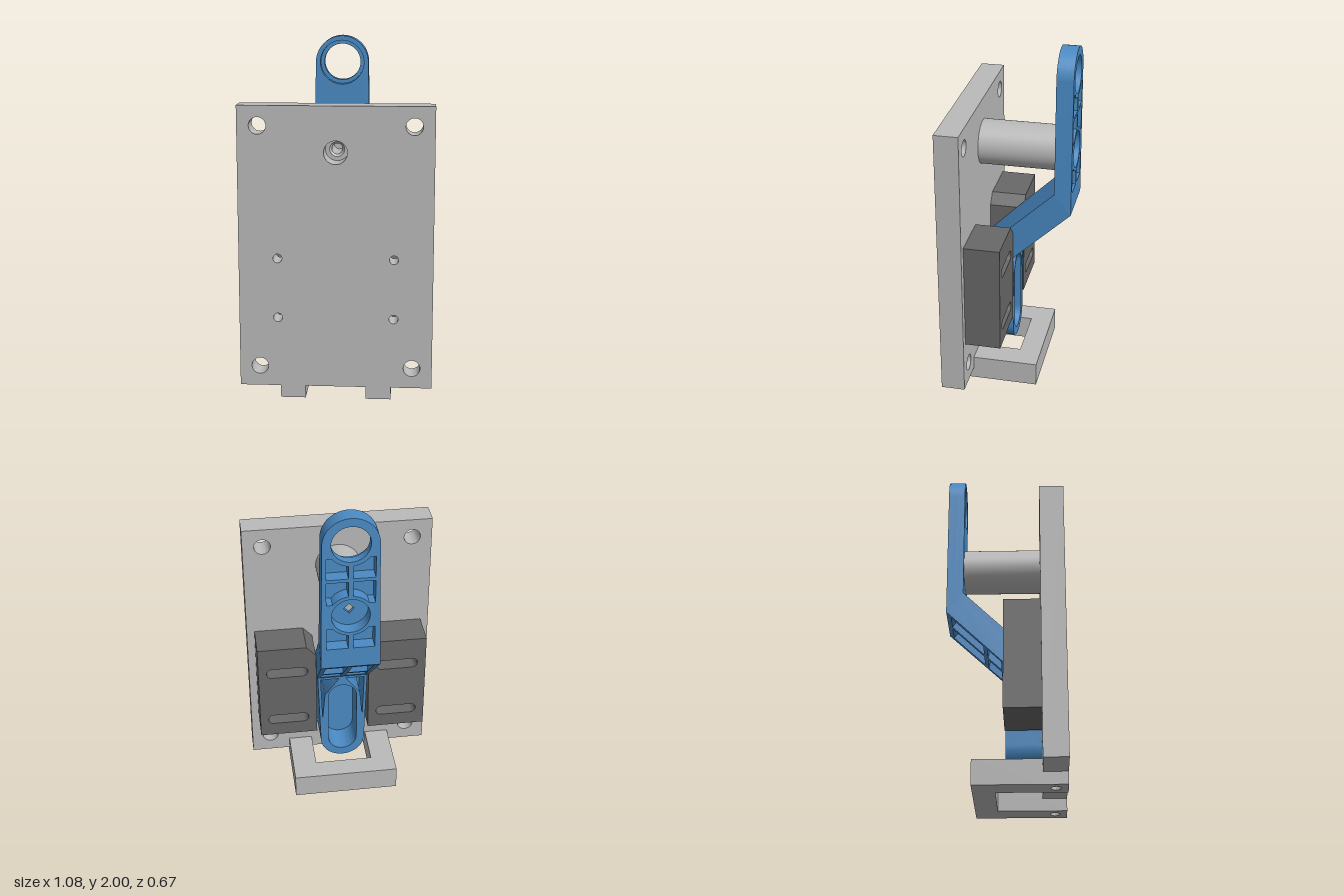
import * as THREE from 'three';
import { toCreasedNormals } from 'three/addons/utils/BufferGeometryUtils.js';

const V = (x, y) => new THREE.Vector2(x, y);
const poly = (...p) => new THREE.Shape(p.map(([x, y]) => V(x, y)));
const rect = (x0, y0, x1, y1) => poly([x0, y0], [x1, y0], [x1, y1], [x0, y1]);
const circle = (x, y, r) => new THREE.Shape().absarc(x, y, r, 0, Math.PI * 2, false);

// Horizontal or vertical slot given by its two end centres
function slot(x0, y0, x1, y1, r) {
  const a = Math.atan2(y1 - y0, x1 - x0), q = Math.PI / 2;
  const s = new THREE.Shape();
  s.absarc(x1, y1, r, a - q, a + q, false);
  s.absarc(x0, y0, r, a + q, a + 3 * q, false);
  s.closePath();
  return s;
}

// Extrude an outline with holes from z0 to z1, optionally moving each vertex by a rule
function slab(outline, holes, z0, z1, rule) {
  const s = new THREE.Shape(outline.getPoints(20));
  s.holes = holes;
  const g = new THREE.ExtrudeGeometry(s, { depth: z1 - z0, bevelEnabled: false, curveSegments: 20 });
  g.translate(0, 0, z0);
  if (rule) {
    const p = g.attributes.position, v = new THREE.Vector3();
    for (let i = 0; i < p.count; i++) {
      v.fromBufferAttribute(p, i);
      rule(v);
      p.setXYZ(i, v.x, v.y, v.z);
    }
  }
  return toCreasedNormals(g, 0.6);
}

// Pocket beside the centre rib, one side following a round boss at height cy
function bossPocket(cy, r, farY, side) {
  const dir = Math.sign(farY - cy);
  const pts = [[0.0136, farY], [0.132, farY], [0.132, cy + dir * r * 0.62]];
  for (let i = 0; i <= 6; i++) {
    const a = THREE.MathUtils.degToRad(38 + (46 * i) / 6);
    pts.push([r * Math.cos(a), cy + dir * r * Math.sin(a)]);
  }
  return poly(...pts.map(([x, y]) => [side * x, y]));
}

export function createModel() {
  const model = new THREE.Group();
  model.name = 'leverBracket';
  const mat = (name, color) => Object.assign(new THREE.MeshStandardMaterial({ color }), { name });
  const grey = mat('lightGrey', 0xbababa);
  const dark = mat('darkGrey', 0x686868);
  const blue = mat('blue', 0x4a8bc5);
  const add = (name, geometry, material, parent = model) => {
    const m = new THREE.Mesh(geometry, material);
    m.name = name;
    parent.add(m);
    return m;
  };

  // Mounting plate with corner, block and post holes
  const plateHoles = [circle(0, 1.405, 0.065)];
  for (const s of [-1, 1]) {
    for (const y of [0.185, 1.55]) plateHoles.push(circle(s * 0.427, y, 0.047));
    for (const y of [0.47, 0.81]) plateHoles.push(circle(s * 0.323, y, 0.025));
  }
  add('mountingPlate', slab(rect(-0.54, 0.07, 0.54, 1.66), plateHoles, 0.2, 0.335), grey);

  // U-shaped foot, drawn in plan (y = -z) and laid flat
  const foot = slab(poly([-0.31, 0.175], [-0.31, -0.2], [-0.17, -0.2], [-0.17, 0.05],
    [0.17, 0.05], [0.17, -0.2], [0.31, -0.2], [0.31, 0.175]), [], 0, 0.14);
  add('foot', foot.rotateX(-Math.PI / 2), grey);
  for (const s of [-1, 1]) {
    const tab = slab(rect(s * 0.24 - 0.07, -0.335, s * 0.24 + 0.07, -0.2),
      [circle(s * 0.24, -0.27, 0.028)], 0, 0.07);
    add('footTab', tab.rotateX(-Math.PI / 2), grey);
  }

  // Post with a blind bore at its front end
  const post = new THREE.LatheGeometry([V(0, -0.24), V(0.128, -0.24), V(0.128, 0.2),
    V(0.042, 0.2), V(0.03, 0.185), V(0.03, 0), V(0, 0)], 48);
  post.rotateX(Math.PI / 2).translate(0, 1.405, 0);
  add('post', toCreasedNormals(post, 0.6), grey);

  // Slotted guide blocks with a chamfered inner top corner
  for (const s of [-1, 1]) {
    const outline = poly(...[[0.155, 0.355], [0.495, 0.355], [0.495, 0.98], [0.21, 0.98], [0.155, 0.92]]
      .map(([x, y]) => [s * x, y]));
    const slots = [0.47, 0.81].map((y) => slot(s * 0.325 - 0.09, y, s * 0.325 + 0.09, y, 0.031));
    add(s > 0 ? 'leftBlock' : 'rightBlock', slab(outline, slots, -0.003, 0.2), dark);
  }

  const arm = new THREE.Group();
  arm.name = 'leverArm';
  model.add(arm);

  // Upper arm: eye, round cup and ribbed pockets behind a flat front skin
  const upper = new THREE.Shape();
  upper.moveTo(-0.165, 1.13);
  upper.lineTo(0.165, 1.13);
  upper.lineTo(0.153, 1.85);
  upper.absarc(0, 1.847, 0.153, 0, Math.PI, false);
  upper.closePath();
  const mitre = (v) => {
    if (v.y < 1.14) v.y = 1.07 + (0.12 * (v.z + 0.335)) / 0.095;
  };
  const upperPockets = () => [circle(0, 1.405, 0.105), ...[-1, 1].flatMap((s) => [
    bossPocket(1.405, 0.125, 1.62, s), bossPocket(1.405, 0.125, 1.195, s),
    bossPocket(1.847, 0.13, 1.64, s)])];
  const squareHole = poly([0, 1.375], [0.03, 1.405], [0, 1.435], [-0.03, 1.405]);
  for (const [name, z0, z1, r, holes] of [
    ['upperArmRim', -0.335, -0.285, 0.105, upperPockets()],
    ['upperArmRim', -0.285, -0.26, 0.127, upperPockets()],
    ['upperArmSkin', -0.26, -0.24, 0.127, [squareHole]],
  ]) add(name, slab(upper, [circle(0, 1.847, r), ...holes], z0, z1, mitre), blue, arm);

  // Sloping middle: y runs 0..1 up the slope, z runs 0..1 from back to front
  const lerp = THREE.MathUtils.lerp;
  const slope = (v) => {
    const { y, z } = v;
    v.y = lerp(lerp(0.75, 1.07, y), lerp(0.96, 1.19, y), z);
    v.z = lerp(lerp(0, -0.335, y), lerp(0, -0.24, y), z);
  };
  const middle = poly([-0.154, 0], [0.154, 0], [0.165, 1], [-0.165, 1]);
  const middlePockets = [-1, 1].flatMap((s) => [[0.07, 0.3], [0.37, 0.92]].map(([a, b]) =>
    poly([s * 0.014, a], [s * 0.13, a], [s * 0.135, b], [s * 0.014, b])));
  add('middleArmRim', slab(middle, middlePockets, 0, 0.8, slope), blue, arm);
  add('middleArmSkin', slab(middle, [], 0.8, 1, slope), blue, arm);

  // Lower arm: rounded end with a long pocket; its top follows the slope
  const lower = new THREE.Shape();
  lower.moveTo(0.154, 0.9);
  lower.lineTo(-0.154, 0.9);
  lower.lineTo(-0.132, 0.282);
  lower.absarc(0, 0.282, 0.132, Math.PI, Math.PI * 2, false);
  lower.closePath();
  const topSlope = (v) => {
    if (v.y > 0.89) v.y = 0.96 - v.z;
  };
  const lowerPockets = [slot(0, 0.285, 0, 0.6, 0.085), ...[-1, 1].map((s) =>
    poly(...[[0.02, 0.735], [0.13, 0.735], [0.12, 0.45], [0.105, 0.62]].map(([x, y]) => [s * x, y])))];
  add('lowerArmRim', slab(lower, lowerPockets, 0, 0.17, topSlope), blue, arm);
  add('lowerArmSkin', slab(lower, [], 0.17, 0.2, topSlope), blue, arm);

  return model;
}
